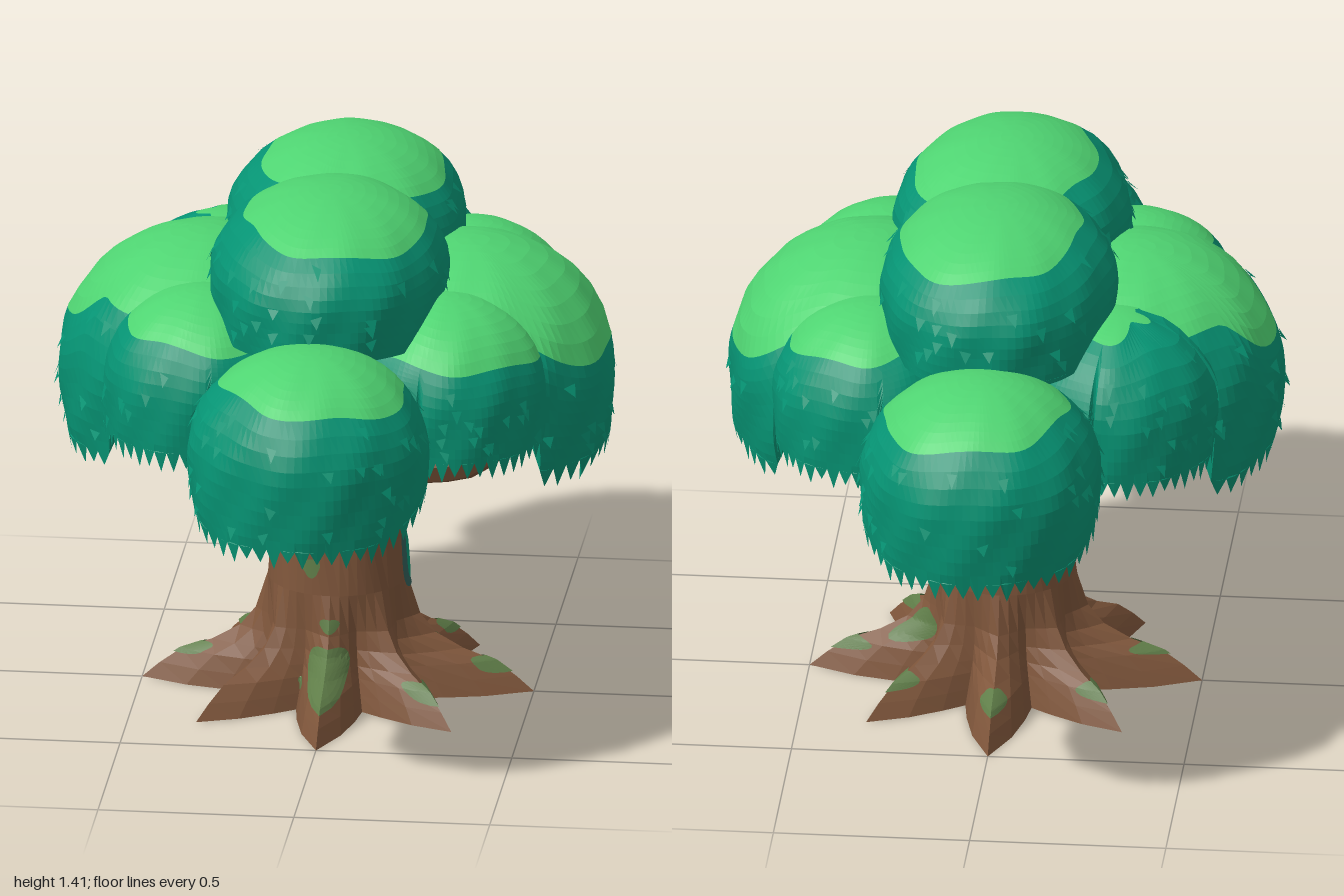
import * as THREE from 'three';

const mat = (name, color, side = THREE.FrontSide) => {
  const m = new THREE.MeshStandardMaterial({ color, side });
  m.name = name;
  return m;
};
const BARK = mat('bark brown', 0x7f563b);
const LEAF = mat('leaf teal', 0x069474, THREE.DoubleSide);
const LIGHT = mat('sunlit leaf green', 0x4fd472);
const MOSS = mat('moss green', 0x5f7d48, THREE.DoubleSide);
const STAIN = mat('dull teal', 0x33605a, THREE.DoubleSide);

let seed = 7;
const rnd = () => (seed = (seed * 16807) % 2147483647) / 2147483647;
const { lerp, smoothstep } = THREE.MathUtils;
const q = Math.PI / 4;

// Flat-shaded surface closed around i; rows j run from the top (or centre) outwards
function loops(cols, rows, f) {
  const pos = [], idx = [];
  for (let j = 0; j <= rows; j++)
    for (let i = 0; i < cols; i++) pos.push(...f(i, j));
  for (let j = 0; j < rows; j++)
    for (let i = 0; i < cols; i++) {
      const n = (i + 1) % cols, a = j * cols + i, b = j * cols + n;
      idx.push(a, a + cols, b + cols, a, b + cols, b);
    }
  const g = new THREE.BufferGeometry();
  g.setAttribute('position', new THREE.Float32BufferAttribute(pos, 3));
  g.setIndex(idx);
  const flat = g.toNonIndexed();
  flat.computeVertexNormals();
  return flat;
}

function add(parent, name, geo, material) {
  const m = new THREE.Mesh(geo, material);
  m.name = name;
  parent.add(m);
  return m;
}

// Trunk sections: height, radius along the roots, radius between them
const SECTIONS = [
  [0.87, 0, 0], [0.87, 0.16, 0.168], [0.7, 0.163, 0.172], [0.55, 0.182, 0.188],
  [0.5, 0.175, 0.18], [0.42, 0.165, 0.173], [0.3, 0.178, 0.178], [0.2, 0.21, 0.17],
  [0.15, 0.25, 0.172], [0.11, 0.32, 0.18], [0.08, 0.4, 0.19], [0.04, 0.455, 0.205],
  [0, 0.5, 0.22], [0, 0, 0],
];
// Root profile around the trunk; diagonal roots are a little shorter
function rootRadius(a, tip, valley) {
  const k = Math.round(a / q), s = 1 - 2 * Math.abs(a / q - k);
  const reach = k % 2 ? valley + (tip - valley) * 0.86 : tip;
  return lerp(valley, reach, Math.pow(s, 1.3));
}
function trunkRadius(a, y) {
  const k = SECTIONS.findIndex((s, n) => n > 1 && y >= s[0]);
  const [y0, t0, v0] = SECTIONS[k - 1], [y1, t1, v1] = SECTIONS[k];
  const s = (y0 - y) / (y0 - y1);
  return rootRadius(a, lerp(t0, t1, s), lerp(v0, v1, s));
}

// Thin patch that follows the trunk surface
function patch(parent, name, a0, y0, da, dy, material, lift = 0.005) {
  add(parent, name, loops(24, 5, (i, j) => {
    const t = i / 24 * Math.PI * 2, k = j / 5 * (1 + 0.12 * Math.sin(3 * t + a0));
    const a = a0 + da * k * Math.cos(t), y = Math.max(0.005, y0 + dy * k * Math.sin(t));
    const r = trunkRadius(a, y) + lift;
    return [Math.sin(a) * r, y + lift * 0.5, Math.cos(a) * r];
  }), material);
}

// Canopy plan: crown, front and back, and on each side one wide lobe with two corners
const LOBES = [];
for (const s of [1, -1]) {
  LOBES.push(
    { name: 'crownLobe', x: 0, z: s * 0.205, rx: 0.302, rz: 0.395, top: 1.41, mid: 1.19,
      cap: 1.33, out: s > 0 ? 0 : 4 * q, hemOut: 1.07, hemIn: 1.07, ceil: 1.07 },
    { name: s > 0 ? 'frontLobe' : 'backLobe', x: 0, z: s * 0.675, rx: 0.305, rz: 0.32, top: 1.14, mid: 0.88,
      cap: 1.045, out: s > 0 ? 0 : 4 * q, hemOut: 0.695, hemIn: 0.83, ceil: 0.91 },
    { name: 'sideLobe', x: s * 0.335, z: 0, rx: 0.37, rz: 0.42, top: 1.215, mid: 0.88,
      cap: 1.075, dip: s > 0 ? 0.11 : 0.1, dipFrom: s > 0 ? 0.4 : 0.8,
      out: s * 2 * q, hemOut: 0.69, hemIn: 0.83, ceil: 0.96 });
  for (const t of [1, -1])
    LOBES.push({ name: 'cornerLobe', x: s * 0.31, z: t * 0.28, rx: 0.26, rz: 0.275, top: 1.16, mid: 0.92,
      cap: s > 0 ? (t > 0 ? 1.04 : 1.08) : (t > 0 ? 1.06 : 1.135),
      out: s * (t > 0 ? 1 : 3) * q, hemOut: 0.79, hemIn: 0.83, ceil: 0.96 });
}
const covered = (x, z, self) => LOBES.some((o) => o !== self &&
  ((x - o.x) / o.rx) ** 2 + ((z - o.z) / o.rz) ** 2 < 0.93);

// Leafy dome: sunlit cap, ragged skirt, dished underside and small leaf flakes
function lobe(parent, o) {
  const { x, z, rx, rz, top, mid, cap, dip = 0, dipFrom = 0, out, hemOut, hemIn, ceil } = o;
  const cols = 96, ph = rnd() * 6, group = new THREE.Group();
  group.name = o.name;
  parent.add(group);
  const point = (a, y, grow = 0) => {
    const h = y > mid ? (y - mid) / (top - mid) : (mid - y) / 0.25;
    const r = (y > mid ? Math.sqrt(Math.max(0, 1 - h * h)) : 1 - 0.09 * h * h)
      * (1 + 0.012 * Math.sin(5 * a + ph + y * 9) + 0.008 * Math.sin(11 * a - y * 25)) + grow;
    return [x + Math.sin(a) * rx * r, y, z + Math.cos(a) * rz * r];
  };
  const ang = (i) => i / cols * Math.PI * 2;
  // The sunlit cap reaches lower on the +x side
  const capY = (a) => Math.min(top - 0.004, cap - dip * smoothstep(Math.cos(a - out), dipFrom, 1)
    - 0.018 * Math.sin(a) + 0.007 * Math.sin(5 * a + ph));
  const inside = (a) => covered(x + Math.sin(a) * rx, z + Math.cos(a) * rz, o);
  const hem = (a) => inside(a) ? ceil : lerp(hemIn, hemOut, smoothstep(Math.cos(a - out), -0.4, 0.8));
  const rim = Array.from({ length: cols }, (_, i) => hem(ang(i)));
  const teeth = rim.map((y, i) => y === ceil ? 0 : i % 2 ? -0.02 - 0.022 * rnd() : 0.012);

  add(group, 'sunlitCap', loops(cols, 9, (i, j) => {
    const a = ang(i);
    return point(a, lerp(top, capY(a), (j / 9) ** 2));
  }), LIGHT);
  add(group, 'leafSkirt', loops(cols, 9, (i, j) => {
    const a = ang(i);
    return point(a, lerp(capY(a), rim[i], j / 9) + (j === 9 ? teeth[i] : 0));
  }), LEAF);
  add(group, 'leafUnderside', loops(cols, 6, (i, j) => {
    const k = 1 - j / 6, [px, , pz] = point(ang(i), rim[i] + 0.012);
    return [lerp(x, px, k), lerp(ceil, rim[i] + 0.012, k * k), lerp(z, pz, k)];
  }), LEAF);

  const flakes = [];
  for (let k = 0; k < 60; k++) {
    const a = rnd() * Math.PI * 2, y = lerp(hem(a) + 0.03, capY(a), rnd()), w = 0.05;
    if (y > capY(a) - 0.02 || inside(a) && ceil < 1) continue;
    flakes.push(...point(a - w, y + 0.012 * rnd(), 0.004), ...point(a + 0.03 * rnd(), y - 0.022, 0.035),
      ...point(a + w, y + 0.012 * rnd(), 0.004));
  }
  const g = new THREE.BufferGeometry();
  g.setAttribute('position', new THREE.Float32BufferAttribute(flakes, 3));
  g.computeVertexNormals();
  add(group, 'leafFlakes', g, LEAF);
}

export function createModel() {
  const tree = new THREE.Group();
  tree.name = 'tree';

  // Trunk with eight spreading roots
  add(tree, 'trunkAndRoots', loops(48, SECTIONS.length - 1, (i, j) => {
    const a = i / 48 * Math.PI * 2, [y, tip, valley] = SECTIONS[j];
    const r = rootRadius(a, tip, valley);
    return [Math.sin(a) * r, y, Math.cos(a) * r];
  }), BARK);

  // Four bent branches with dull tips
  for (let k = 0; k < 4; k++) {
    const s = k % 2 ? 1 : 1.1, branch = new THREE.Group();
    branch.name = 'branch';
    branch.rotation.y = k * Math.PI / 2;
    const path = new THREE.CatmullRomCurve3([[0.08, 0.6], [0.22, 0.61], [0.33, 0.63], [0.42, 0.715], [0.55, 0.87]]
      .map(([d, y]) => new THREE.Vector3(0, y, d * s)));
    const tube = (curve, n, r) => {
      const g = new THREE.TubeGeometry(curve, n, r, 8).toNonIndexed();
      g.computeVertexNormals();
      return g;
    };
    const tip = path.getPoint(1);
    add(branch, 'branchLimb', tube(path, 12, 0.06), BARK);
    add(branch, 'branchTip', tube(new THREE.LineCurve3(path.getPoint(0.95), tip), 1, 0.063), STAIN);
    const end = add(branch, 'branchEnd', new THREE.CircleGeometry(0.062, 8), STAIN);
    end.position.copy(tip);
    end.lookAt(tip.clone().add(path.getTangent(1)));
    tree.add(branch);
  }

  // Moss, knot on the side and stained trunk top
  for (const [a, y, da, dy] of [
    [0, 0.125, 0.25, 0.055], [-0.28, 0.37, 0.13, 0.025], [0, 0.225, 0.13, 0.018],
    [q, 0.075, 0.12, 0.022], [-2 * q, 0.085, 0.1, 0.016], [-0.35, 0.07, 0.06, 0.014],
    [2 * q + 0.2, 0.14, 0.15, 0.045], [3 * q, 0.08, 0.1, 0.02], [4 * q, 0.085, 0.1, 0.02],
    [-3 * q, 0.075, 0.1, 0.02], [2 * q, 0.07, 0.1, 0.02],
  ]) patch(tree, 'mossPatch', a, y, da, dy, MOSS);
  patch(tree, 'knotRim', 2 * q, 0.38, 0.35, 0.1, STAIN, 0.004);
  patch(tree, 'knotCentre', 2 * q, 0.36, 0.15, 0.062, LEAF, 0.007);
  add(tree, 'trunkTopStain', loops(48, 1, (i, j) => {
    const a = i / 48 * Math.PI * 2, y = j ? 0.79 + 0.03 * Math.sin(3 * a) : 0.868;
    const r = trunkRadius(a, y) + 0.004;
    return [Math.sin(a) * r, y, Math.cos(a) * r];
  }), STAIN);
  for (const k of [1, 3, 5, 7]) patch(tree, 'trunkTopLeafStain', k * q, 0.82, 0.2, 0.035, LEAF, 0.008);

  const canopy = new THREE.Group();
  canopy.name = 'canopy';
  tree.add(canopy);
  for (const o of LOBES) lobe(canopy, o);

  // Long hanging leaf on each side
  for (const s of [1, -1]) {
    const leaf = add(canopy, 'hangingLeaf', new THREE.ConeGeometry(0.035, 0.17, 5), LEAF);
    leaf.position.set(s * 0.64, 0.67, 0.03);
    leaf.rotation.z = Math.PI - s * 0.25;
  }

  // Dull ceiling above the trunk
  const ceiling = add(canopy, 'canopyCeiling', new THREE.CircleGeometry(0.28, 24), STAIN);
  ceiling.rotation.x = Math.PI / 2;
  ceiling.position.y = 0.945;
  return tree;
}
